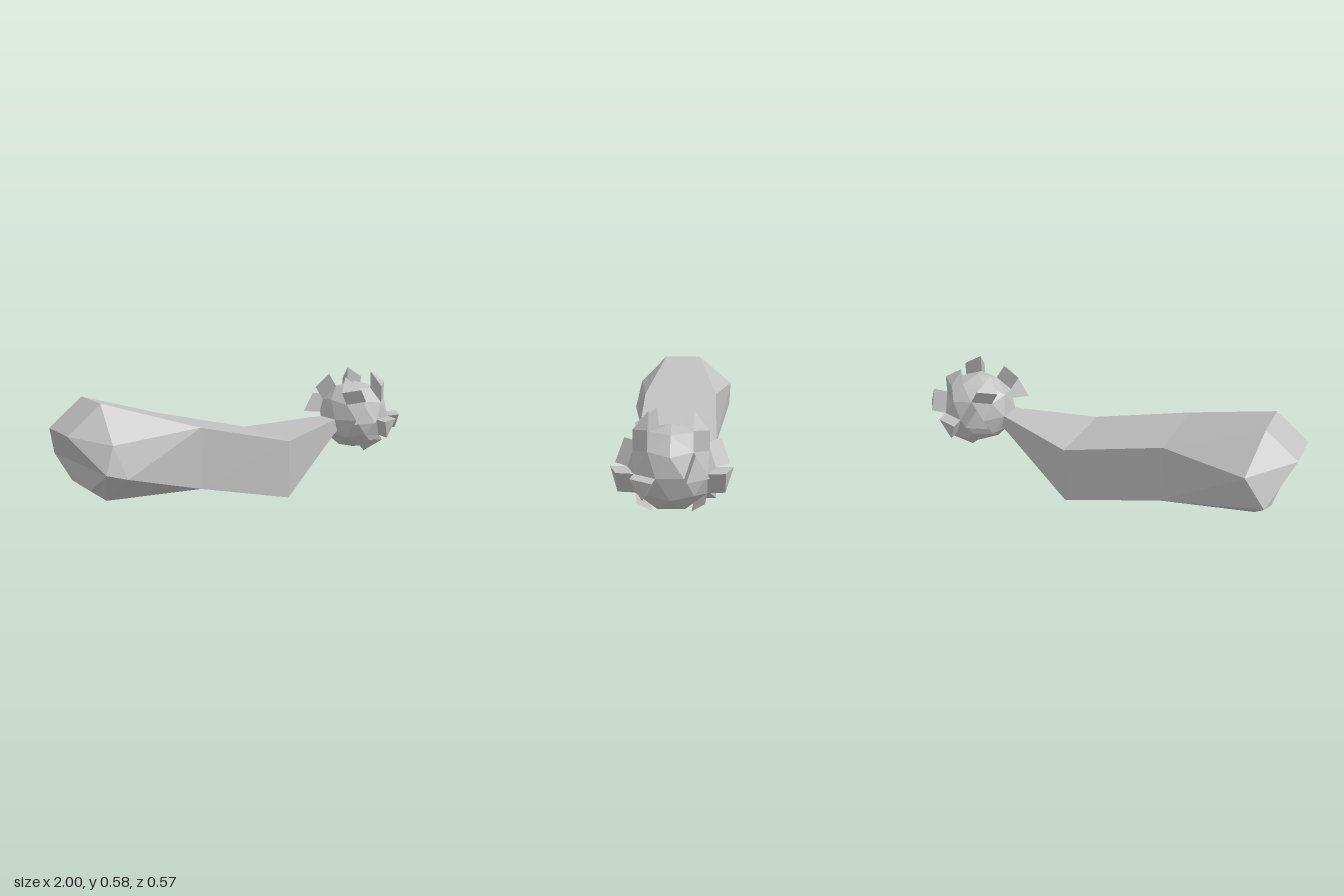
import * as THREE from 'three';
import { ConvexGeometry } from 'three/addons/geometries/ConvexGeometry.js';

const V = (x, y, z) => new THREE.Vector3(x, y, z);

// mirrored pair of corners at +z and -z
const pair = (x, y, z) => [V(x, y, z), V(x, y, -z)];

export function createModel() {
  const group = new THREE.Group();
  const grey = new THREE.MeshStandardMaterial({ color: 0xc0c0c0, flatShading: true });
  grey.name = 'stone grey';

  const add = (name, geometry, parent = group) => {
    const mesh = new THREE.Mesh(geometry, grey);
    mesh.name = name;
    parent.add(mesh);
    return mesh;
  };
  const hull = (name, points, parent) => add(name, new ConvexGeometry(points), parent);

  // rectangular cross-sections along the arm
  const section = (x, y0, y1, z) => [...pair(x, y0, z), ...pair(x, y1, z)];
  const wide = section(-0.39, 0.14, 0.435, 0.195);
  const bend = section(0.13, 0, 0.295, 0.195);
  const neck = section(0.54, 0.24, 0.325, 0.06);
  const core = section(0.6, 0.27, 0.328, 0.045);
  hull('armMiddle', [...wide, ...bend]);
  hull('armTaper', [...bend, ...neck]);
  hull('armNeck', [...neck, ...core]);

  // swollen end, an upper and a lower block sharing the widest edges
  const frontEdge = [V(-0.905, 0.31, 0.27), V(-0.81, 0.28, 0.285)];
  const backEdge = [V(-0.91, 0.29, -0.285)];
  hull('endUpper', [
    ...wide, ...frontEdge, ...backEdge,
    V(-0.86, 0.43, 0.25), V(-0.81, 0.43, -0.287),
    ...pair(-1, 0.46, 0.1), ...pair(-0.84, 0.585, 0.1),
  ]);
  hull('endLower', [
    ...wide, ...frontEdge, ...backEdge,
    ...pair(-0.905, 0.2, 0.1), ...pair(-0.83, 0.14, 0.1),
  ]);

  // faceted ball with one corner straight up
  const R = 0.187, stretch = 1.05, centre = V(0.738, 0.325, 0);
  const ball = new THREE.IcosahedronGeometry(R, 1);
  ball.rotateX(-Math.atan((1 + Math.sqrt(5)) / 2));
  ball.rotateY(Math.PI / 2);
  ball.scale(stretch, 1, 1);
  ball.translate(centre.x, centre.y, centre.z);
  add('ball', ball);

  // a ball corner from its height (unit sphere) and its angle from +x to +z
  const corner = (h, deg) => {
    const a = THREE.MathUtils.degToRad(deg), r = R * Math.sqrt(1 - h * h);
    return V(r * Math.cos(a) * stretch, R * h, r * Math.sin(a)).add(centre);
  };
  const MID = 0.851, UP = 0.526, RING = 0.447;

  // studs: ball facets pushed outwards, [three corners, offset, sides]
  const studs = [
    ['topFrontStud', [[MID, 72], [UP, 36], [RING, 72]], [0, 0.088, 0], [1, -1]],
    ['topInnerStud', [[MID, 144], [UP, 108], [RING, 144]], [-0.045, 0.07, 0.01], [1, -1]],
    ['sideStud', [[0, 54], [0, 90], [-UP, 72]], [-0.01, 0, 0.075], [1, -1]],
    ['sideInnerStud', [[0, 90], [0, 126], [UP, 108]], [-0.07, 0, 0.06], [1, -1]],
    ['bottomStud', [[-MID, 108], [-UP, 72], [-RING, 108]], [0.04, -0.035, -0.01], [1, -1]],
    ['tipLowerStud', [[0, 18], [0, 54], [-RING, 36]], [0.077, 0, 0.01], [1]],
    ['tipUpperStud', [[0, 18], [0, 54], [UP, 36]], [0.077, 0.004, 0.01], [-1]],
  ];
  const studGroup = new THREE.Group();
  studGroup.name = 'studs';
  group.add(studGroup);
  for (const [name, corners, offset, sides] of studs) {
    const push = V(...offset);
    for (const s of sides) {
      const points = corners.flatMap(([h, deg]) => {
        const p = corner(h, deg);
        return [p, p.clone().add(push)];
      });
      points.forEach((p) => { p.z *= s; });
      hull(name, points, studGroup);
    }
  }
  return group;
}
